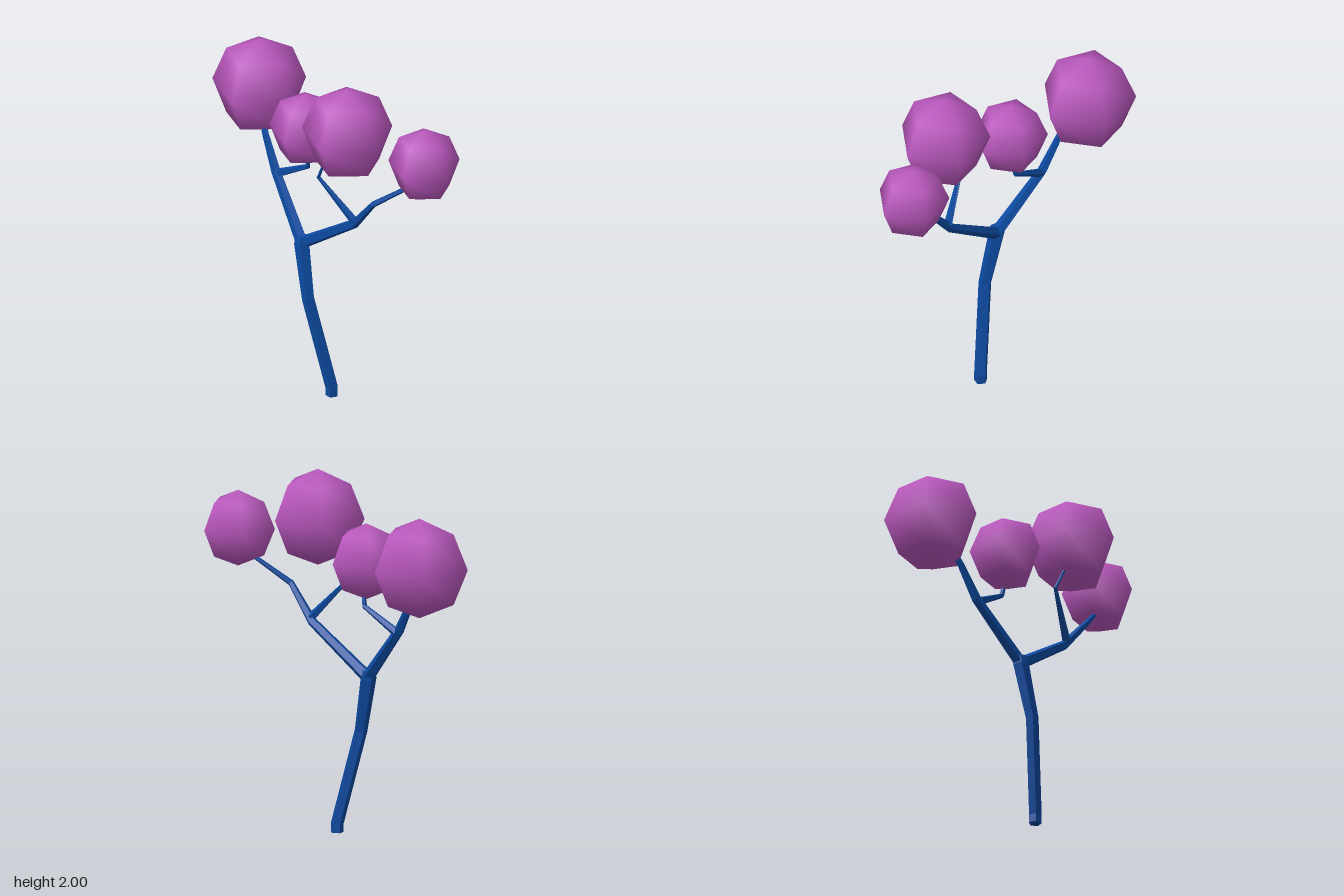
import * as THREE from 'three';

const bark = new THREE.MeshStandardMaterial({ color: 0x0c4aa0, flatShading: true });
const leaf = new THREE.MeshStandardMaterial({ color: 0xba58be });
const SIDES = 5;

// Tapering five-sided limb through nodes [x, y, z, radius]
function limb(name, nodes) {
  const pts = nodes.map(n => new THREE.Vector3(n[0], n[1], n[2]));
  const pos = [], index = [];
  const last = pts.length - 1;
  pts.forEach((p, i) => {
    const t = new THREE.Vector3();
    if (i > 0) t.add(p.clone().sub(pts[i - 1]).normalize());
    if (i < last) t.add(pts[i + 1].clone().sub(p).normalize());
    t.normalize();
    const u = new THREE.Vector3(1, 0, 0).addScaledVector(t, -t.x).normalize();
    const v = t.clone().cross(u);
    for (let j = 0; j < SIDES; j++) {
      const a = (j / SIDES) * Math.PI * 2 + 0.16;
      const q = p.clone()
        .addScaledVector(u, Math.cos(a) * nodes[i][3])
        .addScaledVector(v, Math.sin(a) * nodes[i][3]);
      pos.push(q.x, q.y, q.z);
    }
  });
  for (let i = 0; i < last; i++) {
    for (let j = 0; j < SIDES; j++) {
      const k = (j + 1) % SIDES;
      const a = i * SIDES + j, b = i * SIDES + k;
      index.push(a, b, a + SIDES, b, b + SIDES, a + SIDES);
    }
  }
  // end caps
  const e = last * SIDES;
  for (let j = 1; j < SIDES - 1; j++) index.push(0, j + 1, j, e, e + j, e + j + 1);
  const g = new THREE.BufferGeometry();
  g.setAttribute('position', new THREE.Float32BufferAttribute(pos, 3));
  g.setIndex(index);
  g.computeVertexNormals();
  const m = new THREE.Mesh(g, bark);
  m.name = name;
  return m;
}

// Five-sided ball of foliage, slightly taller than wide
function foliage(name, x, y, z, r) {
  const g = new THREE.SphereGeometry(r, 5, 4);
  g.rotateY(THREE.MathUtils.degToRad(27));
  g.scale(1, 1.034, 1);
  const m = new THREE.Mesh(g, leaf);
  m.position.set(x, y, z);
  m.name = name;
  return m;
}

export function createModel() {
  const tree = new THREE.Group();
  tree.name = 'tree';

  // Trunk
  tree.add(limb('trunk', [
    [-0.08, 0, 0.075, 0.037], [-0.08, 0.05, 0.075, 0.037],
    [-0.177, 0.575, -0.015, 0.037], [-0.175, 0.885, -0.09, 0.046], [-0.172, 0.93, -0.095, 0.04],
  ]));

  // Main branches
  tree.add(limb('frontBranch', [
    [-0.165, 0.9, -0.08, 0.036], [-0.06, 1.15, 0.29, 0.027],
    [-0.035, 1.34, 0.46, 0.018], [0.12, 1.49, 0.62, 0.012],
  ]));
  tree.add(limb('backBranch', [
    [-0.175, 0.9, -0.1, 0.036], [-0.175, 1.2, -0.39, 0.028],
    [-0.18, 1.38, -0.5, 0.02], [-0.17, 1.5, -0.58, 0.016],
  ]));

  // Side twigs
  tree.add(limb('frontTwig', [
    [-0.06, 1.17, 0.3, 0.025], [-0.195, 1.4, 0.13, 0.011], [-0.19, 1.56, 0.21, 0.006],
  ]));
  tree.add(limb('backTwig', [
    [-0.17, 1.19, -0.38, 0.025], [-0.1, 1.31, -0.165, 0.015], [-0.105, 1.42, -0.14, 0.01],
  ]));

  // Foliage
  tree.add(foliage('frontFoliage', 0.167, 1.635, 0.68, 0.206));
  tree.add(foliage('topFoliage', -0.108, 1.73, 0.303, 0.261));
  tree.add(foliage('middleFoliage', -0.125, 1.558, -0.148, 0.206));
  tree.add(foliage('backFoliage', -0.134, 1.606, -0.653, 0.271));
  return tree;
}
